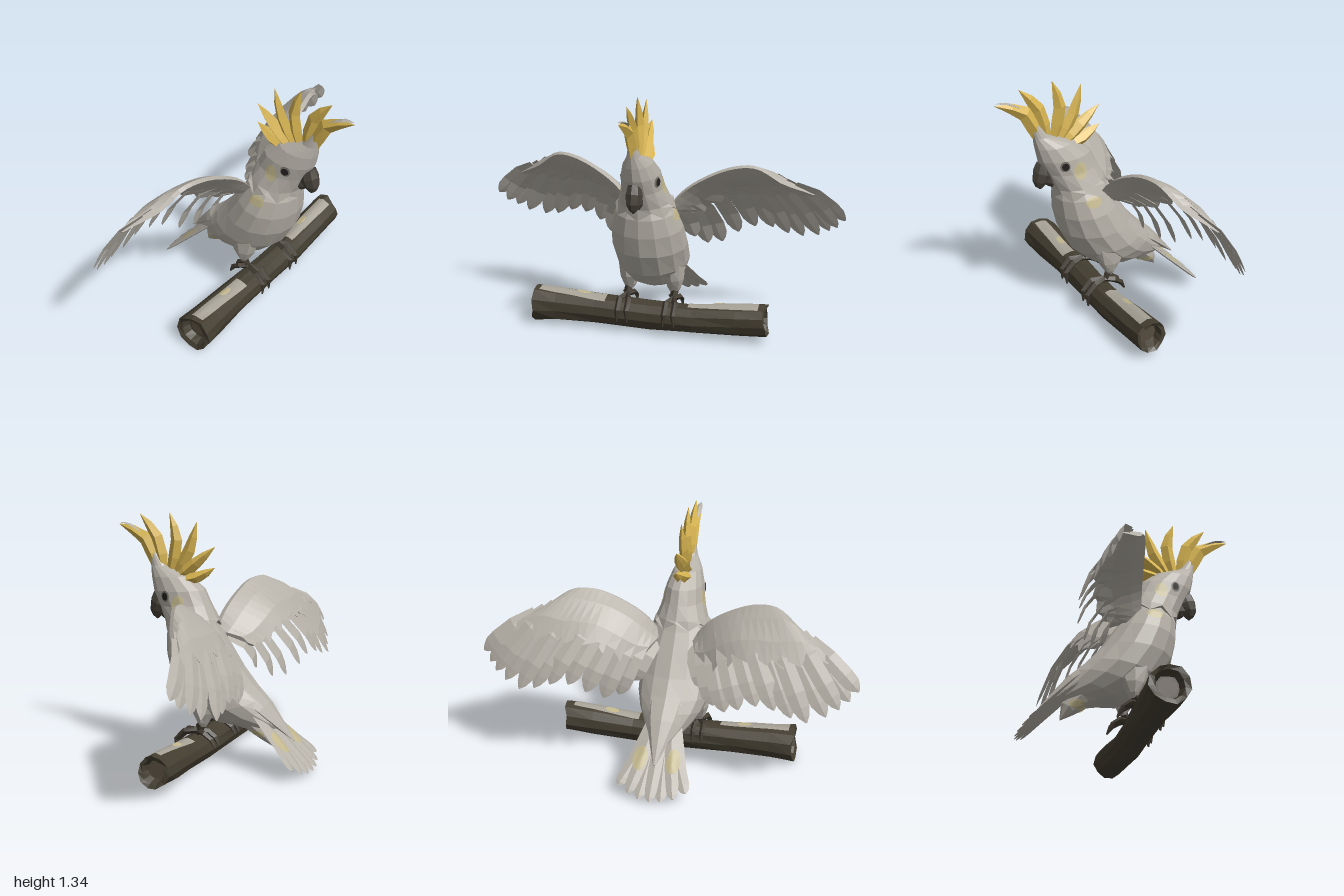
import * as THREE from 'three';
import { mergeGeometries } from 'three/addons/utils/BufferGeometryUtils.js';

const V = (x, y, z) => new THREE.Vector3(x, y, z);
const curve = (pts) => new THREE.CatmullRomCurve3(pts.map((p) => V(...p)));
const paint = (name, color, double) => {
  const m = new THREE.MeshStandardMaterial({ color });
  m.name = name;
  if (double) m.side = THREE.DoubleSide;
  return m;
};

// Closed, faceted skin through rings of equal point count, always facing outward
function loft(rings) {
  const tris = [], n = rings[0].length;
  for (let i = 0; i < rings.length - 1; i++) {
    for (let j = 0; j < n; j++) {
      const k = (j + 1) % n, A = rings[i], B = rings[i + 1];
      tris.push([A[j], A[k], B[k]], [A[j], B[k], B[j]]);
    }
  }
  [rings[0], rings[rings.length - 1]].forEach((r, end) => {
    const c = r.reduce((s, p) => s.add(p), V(0, 0, 0)).divideScalar(n);
    for (let j = 0; j < n; j++) {
      const k = (j + 1) % n;
      tris.push(end ? [r[j], r[k], c] : [r[k], r[j], c]);
    }
  });
  let volume = 0;
  for (const [a, b, c] of tris) volume += a.dot(b.clone().cross(c));
  const pts = tris.flatMap(([a, b, c]) => (volume < 0 ? [a, c, b] : [a, b, c]));
  const g = new THREE.BufferGeometry().setFromPoints(pts);
  g.computeVertexNormals();
  return g;
}

// Oval rings given as [front z, front y, back z, back y, half width]
function ovals(list, sides = 14) {
  return list.map(([zf, yf, zb, yb, w]) => Array.from({ length: sides }, (_, j) => {
    const a = (j / sides) * Math.PI * 2, c = Math.cos(a);
    return V(w * Math.sin(a), (yf + yb) / 2 + (yf - yb) / 2 * c, (zf + zb) / 2 + (zf - zb) / 2 * c);
  }));
}

// Thin feather or toe along a path; profile holds [position, width factor]
const ROUND = [[0, 0.6], [0.3, 0.95], [0.6, 1], [0.85, 0.95], [0.95, 0.7], [1, 0.25]];
const TAPERED = [[0, 0.6], [0.3, 0.95], [0.6, 1], [0.78, 0.9], [0.91, 0.55], [1, 0.08]];
const POINTED = [[0, 0.6], [0.25, 1], [0.5, 0.95], [0.75, 0.65], [1, 0.04]];
function blade(path, normal, width, thick, profile) {
  return loft(profile.map(([u, f]) => {
    const c = path.getPoint(u), t = path.getTangent(u);
    const side = t.clone().cross(normal).normalize(), up = side.clone().cross(t);
    const at = (v, d) => c.clone().addScaledVector(v, d);
    return [at(side, width * f), at(up, thick * f), at(side, -width * f), at(up, -thick * f)];
  }));
}

function mirrored(g) {
  const p = g.attributes.position, pts = [];
  for (let i = 0; i < p.count; i += 3) {
    for (const k of [i, i + 2, i + 1]) pts.push(V(-p.getX(k), p.getY(k), p.getZ(k)));
  }
  const m = new THREE.BufferGeometry().setFromPoints(pts);
  m.computeVertexNormals();
  return m;
}

// Thin oval or square patch draped on a mesh; dir points away from the mesh
function patch(target, centre, radii, dir, lift = 0.004, square = false) {
  const g = square ? new THREE.PlaneGeometry(2, 2, 12, 5) : new THREE.RingGeometry(0.01, 1, 14, 4);
  const p = g.attributes.position, ray = new THREE.Raycaster();
  let last = centre.clone();
  for (let i = 0; i < p.count; i++) {
    const o = dir.y ? V(radii[0] * p.getX(i), 0, radii[1] * p.getY(i)) : V(0, radii[1] * p.getY(i), radii[0] * p.getX(i));
    o.add(centre);
    ray.set(o.clone().addScaledVector(dir, 2), dir.clone().negate());
    const hit = ray.intersectObject(target)[0];
    if (hit) last = hit.point;
    const depth = last.clone().sub(o).dot(dir) + lift;
    o.addScaledVector(dir, depth);
    p.setXYZ(i, o.x, o.y, o.z);
  }
  g.computeVertexNormals();
  return g;
}

export function createModel() {
  const model = new THREE.Group();
  model.name = 'perchedBird';
  const white = paint('plumage white', 0xb5b0a7);
  const yellow = paint('crest yellow', 0xd8b552);
  const pale = paint('pale yellow', 0xc0b58c, true);
  const beakMat = paint('beak grey', 0x48433b);
  const footMat = paint('foot brown', 0x3f392f);
  const bark = paint('bark brown', 0x443e31);
  const wood = paint('bare wood', 0xa8a397, true);
  const core = paint('inner wood', 0x564c3f);
  const ringMat = paint('eye ring grey', 0x77736c, true);
  const dark = paint('eye dark', 0x24211f, true);
  const add = (name, g, mat) => {
    const m = new THREE.Mesh(g, mat);
    m.name = name;
    model.add(m);
    return m;
  };
  const both = (name, g, mat) => [add('left' + name, g, mat), add('right' + name, mirrored(g), mat)];

  // Body
  const body = add('body', loft(ovals([
    [0.24, 0.80, 0.03, 0.83, 0.10], [0.265, 0.70, -0.02, 0.74, 0.16], [0.26, 0.60, -0.08, 0.65, 0.192],
    [0.235, 0.49, -0.16, 0.53, 0.203], [0.165, 0.365, -0.24, 0.44, 0.195], [0.08, 0.285, -0.29, 0.39, 0.168],
    [-0.04, 0.235, -0.33, 0.34, 0.125], [-0.18, 0.225, -0.37, 0.29, 0.08], [-0.28, 0.22, -0.40, 0.25, 0.04],
  ])), white);

  // Head with a raised forehead and a ragged ruff at the neck
  const headRings = ovals([
    [0.387, 1.14, 0.36, 1.15, 0.012], [0.377, 1.06, 0.285, 1.06, 0.035], [0.37, 1.0, 0.15, 1.015, 0.075],
    [0.355, 0.93, 0.06, 0.945, 0.1], [0.315, 0.85, 0.025, 0.87, 0.11], [0.275, 0.76, -0.01, 0.80, 0.14],
    [0.27, 0.715, -0.025, 0.765, 0.16],
  ]);
  headRings[6].forEach((p, j) => { p.y += j % 2 ? 0.025 : -0.015; });
  const head = add('head', loft(headRings), white);

  // Beak
  add('upperBeak', loft(ovals([
    [0.362, 0.92, 0.27, 0.87, 0.036], [0.382, 0.875, 0.27, 0.835, 0.046], [0.387, 0.82, 0.3, 0.805, 0.038],
    [0.372, 0.785, 0.325, 0.78, 0.022], [0.348, 0.765, 0.34, 0.765, 0.004]], 8)), beakMat);
  add('lowerBeak', loft(ovals([
    [0.34, 0.85, 0.25, 0.84, 0.035], [0.335, 0.81, 0.25, 0.785, 0.036], [0.315, 0.785, 0.275, 0.765, 0.02]], 8)), beakMat);

  // Eyes, cheeks and shoulder patches
  for (const [side, s] of [['left', 1], ['right', -1]]) {
    const dir = V(s, 0, 0);
    add(side + 'EyeRing', patch(head, V(0, 0.91, 0.245), [0.026, 0.03], dir), ringMat);
    add(side + 'Eye', patch(head, V(0, 0.91, 0.245), [0.018, 0.021], dir, 0.008), dark);
    add(side + 'Cheek', patch(head, V(0, 0.875, 0.165), [0.036, 0.045], dir), pale);
    add(side + 'ShoulderPatch', patch(body, V(0, 0.705, 0.115), [0.045, 0.03], dir), pale);
  }

  // Crest: [base, bend, tip] as z, y, then sideways lean and width
  const crest = [
    [[0.335, 1.03], [0.415, 1.2], [0.575, 1.27], 0, 0.042], [[0.3, 1.02], [0.345, 1.21], [0.445, 1.33], 0, 0.038],
    [[0.265, 1.01], [0.225, 1.2], [0.265, 1.345], 0, 0.036], [[0.24, 1.0], [0.15, 1.15], [0.105, 1.3], 0, 0.036],
    [[0.22, 0.99], [0.11, 1.085], [0.0, 1.175], 0.014, 0.03], [[0.21, 0.985], [0.1, 1.01], [0.0, 1.065], 0.018, 0.03]];
  crest.forEach(([a, b, c, lean, w], i) => {
    const g = blade(curve([a, b, c].map(([z, y], k) => [k < 2 ? lean : 0, y, z])), V(1, 0, 0), w, 0.026, POINTED);
    if (lean) both('CrestFeather' + i, g, yellow);
    else add('crestFeather' + i, g, yellow);
  });
  // Light ridge on the foremost crest feather
  add('crestRidge', blade(curve([[0, 1.235, 0.44], [0, 1.27, 0.51], [0, 1.28, 0.572]]), V(0, 0.7, -0.7), 0.02, 0.006, POINTED), white);

  // Wings: flight feathers and coverts on one cupped surface
  const lead = curve([[0.08, 0.69, 0.05], [0.18, 0.81, 0.03], [0.31, 0.895, 0.01], [0.44, 0.945, -0.01], [0.55, 0.945, -0.04], [0.67, 0.865, -0.09]]);
  const trail = curve([[0.2, 0.5, -0.16], [0.28, 0.43, -0.25], [0.385, 0.475, -0.32], [0.51, 0.53, -0.345],
    [0.64, 0.51, -0.36], [0.75, 0.48, -0.37], [0.87, 0.52, -0.33], [0.94, 0.565, -0.29], [0.998, 0.625, -0.25]]);
  const up = V(0, 0.59, -0.81);
  const wing = (s, v, off = 0) => lead.getPoint(s).lerp(trail.getPoint(s), v)
    .addScaledVector(up, (0.078 - 0.028 * s * s) * Math.sin(Math.PI * v) + off);
  const feathers = [];
  for (let i = 0; i < 12; i++) {
    const s = i / 11, off = (i % 2) * 0.008;
    const path = new THREE.CatmullRomCurve3([0.2, 0.45, 0.7, 0.87, 1].map((v) => wing(s, v, off)));
    feathers.push(blade(path, up, 0.056 - 0.01 * s, 0.007, TAPERED));
  }
  both('FlightFeathers', mergeGeometries(feathers), white);
  const section = [[0.56, 0.012], [0.36, 0.026], [0.14, 0.03], [0.01, 0.016], [0, -0.012], [0.14, -0.026], [0.36, -0.022], [0.52, -0.01]];
  const coverts = [];
  for (let i = 0; i <= 18; i++) {
    const s = i / 18, ragged = i % 2 ? 1.05 : 0.93, taper = 1 - 0.3 * s;
    coverts.push(section.map(([v, d]) => wing(s, v > 0.5 ? v * ragged : v, d * taper)));
  }
  both('WingCoverts', loft(coverts), white);

  // Tail fan with pale patches, rump feathers and undertail wedge
  const tailFeathers = [];
  for (let i = -3; i <= 3; i++) {
    const f = i / 3, drop = 0.01 * (i % 2 ? 1 : 0);
    const path = curve([[0.07 * f, 0.34 - drop, -0.25], [0.115 * f, 0.19 - drop, -0.41], [0.178 * f, 0.03 + 0.045 * f * f, -0.575 + 0.05 * f * f]]);
    tailFeathers.push(blade(path, V(0, 0.7, -0.7), 0.036, 0.008, ROUND));
  }
  const tail = add('tailFan', mergeGeometries(tailFeathers), white);
  for (const s of [-1, 1]) add('tailPatch', patch(tail, V(0.09 * s, 0, -0.42), [0.038, 0.05], V(0, 1, 0)), pale);
  add('rump', loft(ovals([[-0.12, 0.4, -0.2, 0.48, 0.12], [-0.27, 0.3, -0.32, 0.37, 0.085],
    [-0.37, 0.24, -0.40, 0.27, 0.045], [-0.465, 0.178, -0.467, 0.182, 0.006]], 8)), white);
  const wedge = add('undertail', loft(ovals([[-0.1, 0.235, -0.22, 0.33, 0.1], [-0.2, 0.215, -0.3, 0.29, 0.08],
    [-0.28, 0.165, -0.345, 0.22, 0.05], [-0.348, 0.13, -0.352, 0.14, 0.008]], 8)), white);
  for (const s of [-1, 1]) add('undertailPatch', patch(wedge, V(0, 0.205, -0.27), [0.045, 0.022], V(s, 0, 0)), pale);

  // Feathered thighs, legs and gripping toes
  const thigh = loft(ovals([[0.1, 0.4, -0.1, 0.4, 0.06], [0.07, 0.31, -0.06, 0.31, 0.055],
    [0.035, 0.255, -0.025, 0.255, 0.038], [0.022, 0.23, -0.01, 0.23, 0.022]], 8)).translate(0.125, 0, 0);
  both('Thigh', thigh, white);
  const EVEN = [[0, 1], [0.35, 1], [0.7, 0.9], [1, 0.3]];
  const foot = [blade(curve([[0.13, 0.25, 0.01], [0.13, 0.22, 0.02], [0.13, 0.18, 0.04]]), V(1, 0, 0), 0.022, 0.022, EVEN)];
  for (const d of [-0.025, 0.025]) {
    foot.push(blade(curve([[0.13, 0.205, 0.04], [0.13 + d, 0.2, 0.1], [0.13 + d, 0.155, 0.15], [0.13 + d * 1.2, 0.08, 0.15]]), V(1, 0, 0), 0.018, 0.016, EVEN));
    foot.push(blade(curve([[0.13, 0.205, 0.04], [0.13 + d, 0.2, -0.01], [0.13 + d, 0.175, -0.05], [0.13 + d, 0.13, -0.075]]), V(1, 0, 0), 0.016, 0.015, EVEN));
  }
  both('Foot', mergeGeometries(foot), footMat);

  // Perch: uneven log with hollow, splintered ends; each ring is x, y, z, radius
  let seed = 7;
  const rnd = () => (seed = (seed * 16807) % 2147483647) / 2147483647 - 0.5;
  const log = [[-0.6, 0.11, 0.06, 0.06], [-0.645, 0.11, 0.06, 0.075], [-0.652, 0.11, 0.06, 0.102], [-0.52, 0.11, 0.06, 0.092],
    [-0.3, 0.107, 0.055, 0.084], [0, 0.1, 0.05, 0.08], [0.25, 0.105, 0.05, 0.08], [0.48, 0.12, 0.042, 0.083],
    [0.642, 0.13, 0.035, 0.086], [0.635, 0.13, 0.035, 0.065], [0.59, 0.13, 0.035, 0.05]];
  const perch = add('perchLog', loft(log.map(([x, y, z, r], i) => Array.from({ length: 11 }, (_, j) => {
    const a = (j / 11) * Math.PI * 2, end = i === 2 || i === 8, q = r * (1 + 0.14 * rnd());
    return V(x + (end ? 0.03 * rnd() : 0), y + q * Math.cos(a), z + q * Math.sin(a));
  }))), bark);
  for (const [x, y, z, s] of [[-0.602, 0.11, 0.06, -1], [0.592, 0.13, 0.035, 1]]) {
    const disc = new THREE.CircleGeometry(0.05, 9).rotateY(s * Math.PI / 2).translate(x, y, z);
    add('logCore', disc, core);
  }
  // Bare wood strips on top of the log, each with a small pale spot
  for (const [x, z, spot] of [[-0.43, 0.07, -0.37], [0.41, 0.045, 0.38]]) {
    add('bareWood', patch(perch, V(x, 0, z), [0.19, 0.036], V(0, 1, 0), 0.004, true), wood);
    add('paleSpot', patch(perch, V(spot, 0, z - 0.012), [0.04, 0.018], V(0, 1, 0), 0.008), pale);
  }
  return model;
}
